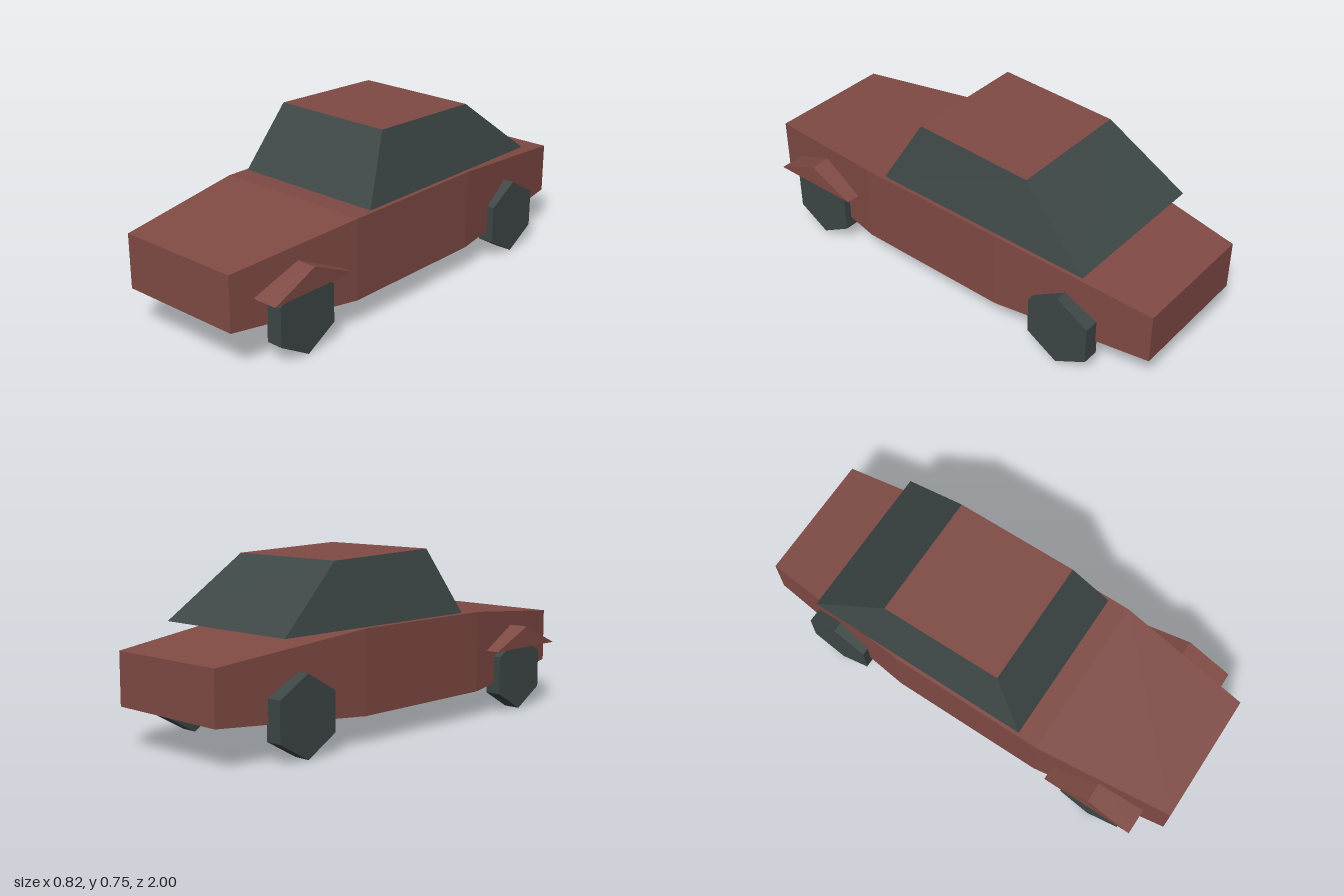
import * as THREE from 'three';

const red = new THREE.MeshStandardMaterial({ color: 0x804a44 });
red.name = 'red paint';
const dark = new THREE.MeshStandardMaterial({ color: 0x3d4746 });
dark.name = 'dark glass and rubber';

// Moves every corner of a unit box by a rule, then gives it flat faces.
function shapedBox(depthSegments, rule) {
  const box = new THREE.BoxGeometry(1, 1, 1, 1, 1, depthSegments);
  const pos = box.attributes.position;
  for (let i = 0; i < pos.count; i++) {
    pos.setXYZ(i, ...rule(pos.getX(i) * 2, pos.getY(i) > 0, pos.getZ(i)));
  }
  const flat = box.toNonIndexed();
  flat.computeVertexNormals();
  return flat;
}

function addMesh(parent, name, geometry, material) {
  const mesh = new THREE.Mesh(geometry, material);
  mesh.name = name;
  parent.add(mesh);
  return mesh;
}

export function createModel() {
  const car = new THREE.Group();
  car.name = 'car';

  // Body: four rectangular sections from tail to nose
  const sections = [
    { z: -1, half: 0.285, low: 0.165, high: 0.385 },
    { z: -0.3, half: 0.362, low: 0.115, high: 0.463 },
    { z: 0.4, half: 0.362, low: 0.115, high: 0.463 },
    { z: 1, half: 0.285, low: 0.175, high: 0.408 },
  ];
  addMesh(car, 'body', shapedBox(3, (side, top, depth) => {
    const s = sections[Math.round((depth + 0.5) * 3)];
    return [side * s.half, top ? s.high : s.low, s.z];
  }), red);

  // Cabin: glass on four sides, painted roof and underside
  addMesh(car, 'cabin', shapedBox(1, (side, top, depth) => {
    const front = depth > 0;
    return top
      ? [side * 0.276, front ? 0.745 : 0.728, front ? 0.157 : -0.385]
      : [side * 0.348, 0.466, front ? 0.308 : -0.717];
  }), [dark, dark, red, red, dark, dark]);

  // Six-sided wheels, standing on a corner
  const wheel = new THREE.CylinderGeometry(0.165, 0.165, 0.073, 6)
    .rotateY(Math.PI / 2).rotateZ(Math.PI / 2).toNonIndexed();
  wheel.computeVertexNormals();

  // Tent-shaped front fenders
  const profile = new THREE.Shape([
    new THREE.Vector2(-0.207, 0.283),
    new THREE.Vector2(0.207, 0.283),
    new THREE.Vector2(0, 0.375),
  ]);
  const fender = new THREE.ExtrudeGeometry(profile, { depth: 0.13, bevelEnabled: false })
    .translate(0, 0, -0.065).rotateY(Math.PI / 2);

  for (const [side, label] of [[1, 'left'], [-1, 'right']]) {
    addMesh(car, label + 'FrontWheel', wheel, dark).position.set(side * 0.3385, 0.165, 0.69);
    addMesh(car, label + 'RearWheel', wheel, dark).position.set(side * 0.3385, 0.165, -0.625);
    addMesh(car, label + 'Fender', fender, red).position.set(side * 0.347, 0, 0.688);
  }
  return car;
}
